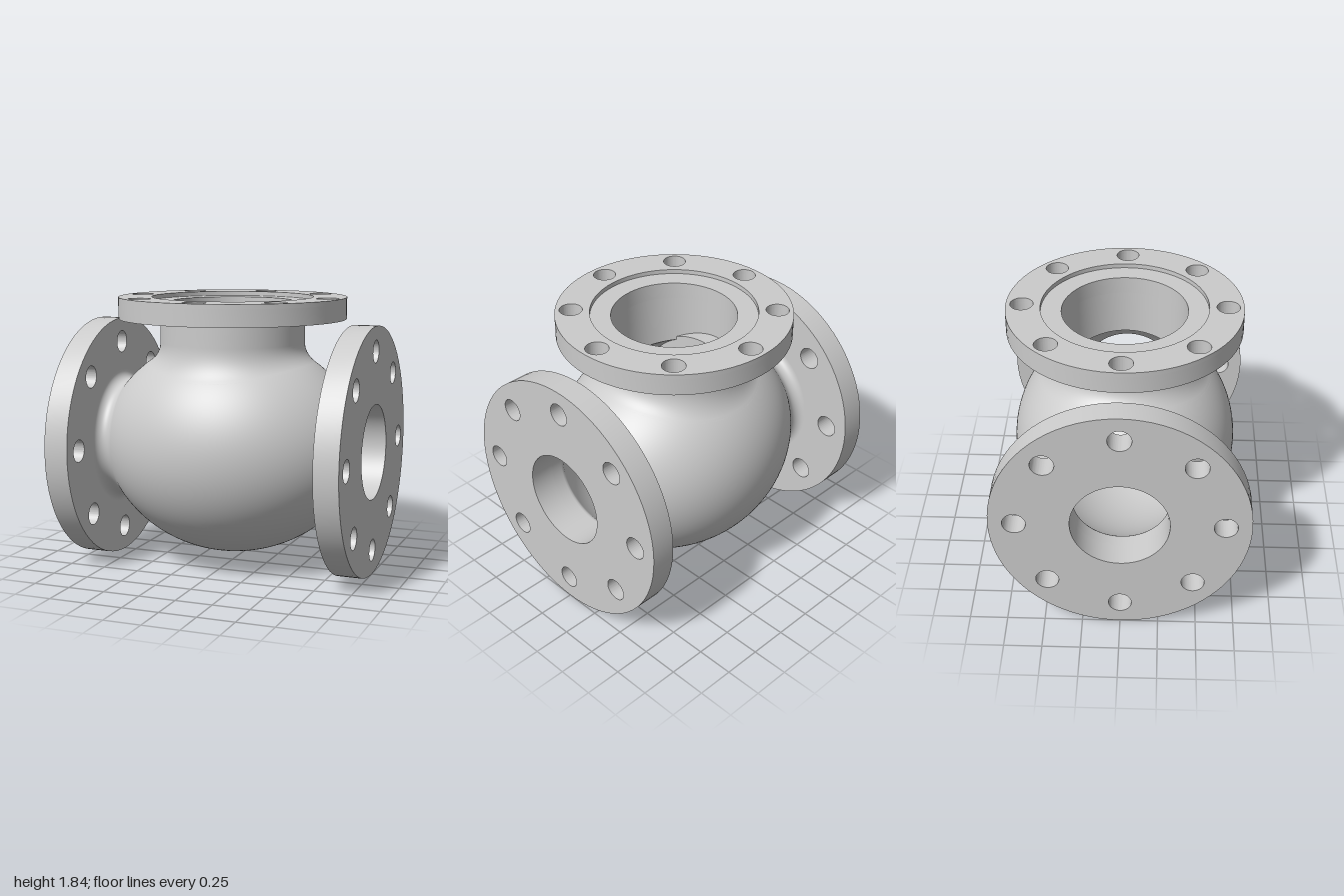
import * as THREE from 'three';
import { toCreasedNormals } from 'three/addons/utils/BufferGeometryUtils.js';

const CY = 0.833;        // height of the port axis
const BORE = 0.317;      // side port radius
const NECK = 0.49, NECK_BORE = 0.41;
const FLANGE_X = 0.835;  // inner face of the side flanges

const grey = new THREE.MeshStandardMaterial({ color: 0xcccccc });
const greyBoth = new THREE.MeshStandardMaterial({ color: 0xcccccc, side: THREE.DoubleSide });

// Body radius around the x axis: a bulged arc, then a small concave throat
const bulge = (x) => Math.sqrt(0.99 - x * x) - 0.25;
function outerRadius(x) {
  const a = Math.abs(x);
  return a < 0.733 ? bulge(x) : 0.47 - Math.sqrt(Math.max(0, 0.0036 - (a - 0.775) ** 2));
}
const innerRadius = (x) => Math.max(BORE, bulge(x) - 0.1);
const topOf = (radius, x, z) => CY + Math.sqrt(Math.max(0, radius(x) ** 2 - z * z));

function add(group, name, geometry, material = grey) {
  const mesh = new THREE.Mesh(geometry, material);
  mesh.name = name;
  group.add(mesh);
  return mesh;
}

function indexed(positions, index) {
  const g = new THREE.BufferGeometry();
  g.setAttribute('position', new THREE.Float32BufferAttribute(positions, 3));
  g.setIndex(index);
  g.computeVertexNormals();
  return g;
}

// Surface of revolution about x, with a round opening of the given radius on top
function shell(radius, xEnd, opening, inward) {
  const rows = 100, cols = 128, pos = [], idx = [], cut = [];
  for (let i = 0; i <= rows; i++) {
    const rowX = xEnd * Math.sin((i / rows - 0.5) * Math.PI);
    for (let j = 0; j < cols; j++) {
      const a = (j / cols) * Math.PI * 2;
      let x = rowX, y = CY + radius(x) * Math.cos(a), z = radius(x) * Math.sin(a);
      const d = Math.hypot(x, z);
      const inside = y > CY && d < opening;
      if (inside && d > 1e-6) {
        x *= opening / d;
        z *= opening / d;
        y = topOf(radius, x, z);
      }
      cut.push(inside);
      pos.push(x, y, z);
    }
  }
  const tri = (a, b, c) => {
    if (cut[a] && cut[b] && cut[c]) return;
    if (inward) idx.push(a, c, b); else idx.push(a, b, c);
  };
  for (let i = 0; i < rows; i++) {
    for (let j = 0; j < cols; j++) {
      const a = i * cols + j, b = i * cols + (j + 1) % cols;
      tri(a, a + cols, b);
      tri(b, a + cols, b + cols);
    }
  }
  return indexed(pos, idx);
}

// Skin around y: profile(angle) returns [radius, height] points from bottom to top
function loftY(profile, inward) {
  const cols = 128, pos = [], idx = [];
  let n = 0;
  for (let j = 0; j < cols; j++) {
    const a = (j / cols) * Math.PI * 2;
    const pts = profile(Math.cos(a), Math.sin(a));
    n = pts.length;
    for (const [r, y] of pts) pos.push(r * Math.cos(a), y, r * Math.sin(a));
  }
  for (let j = 0; j < cols; j++) {
    for (let k = 0; k < n - 1; k++) {
      const a = j * n + k, b = ((j + 1) % cols) * n + k;
      if (inward) idx.push(a, b, a + 1, b, b + 1, a + 1);
      else idx.push(a, a + 1, b, b, a + 1, b + 1);
    }
  }
  return indexed(pos, idx);
}

function circle(r, x = 0, y = 0) {
  return new THREE.Path().absarc(x, y, r, 0, Math.PI * 2, true);
}

function extrude(shape, depth) {
  const g = new THREE.ExtrudeGeometry(shape, { depth, bevelEnabled: false, curveSegments: 40 });
  return toCreasedNormals(g, 0.6);
}

// Flat ring with eight bolt holes, lying in xy and growing along +z
function flange(radius, hole, depth) {
  const shape = new THREE.Shape().absarc(0, 0, radius, 0, Math.PI * 2, false);
  shape.holes.push(circle(hole));
  for (let i = 0; i < 8; i++) {
    const a = (i * Math.PI) / 4;
    shape.holes.push(circle(0.075, 0.667 * Math.cos(a), 0.667 * Math.sin(a)));
  }
  return extrude(shape, depth);
}

// Vertical wall across the cavity: part of a disc above or below a chord
function wall(chordY, upward, thickness) {
  const r = 0.62, a = Math.asin((chordY - CY) / r);
  const shape = new THREE.Shape();
  if (upward) shape.absarc(0, 0, r, a, Math.PI - a, false);
  else shape.absarc(0, 0, r, Math.PI - a, Math.PI * 2 + a, false);
  shape.closePath();
  return extrude(shape, thickness).rotateY(Math.PI / 2);
}

export function createModel() {
  const model = new THREE.Group();
  model.name = 'valveBody';

  // Bulged casing and its hollow inside
  add(model, 'casing', shell(outerRadius, FLANGE_X, 0.56, false), greyBoth);
  add(model, 'cavity', shell(innerRadius, FLANGE_X, NECK_BORE, true), greyBoth);

  // Neck with a fillet that follows the casing
  add(model, 'neck', loftY((c, s) => {
    const at = (r) => topOf(outerRadius, r * c, r * s);
    const curve = new THREE.QuadraticBezierCurve(
      new THREE.Vector2(0.575, at(0.575)),
      new THREE.Vector2(NECK, at(NECK)),
      new THREE.Vector2(NECK, 1.53));
    return [...curve.getPoints(12).map((p) => [p.x, p.y]), [NECK, 1.6], [NECK, 1.69]];
  }, false), greyBoth);
  add(model, 'neckBore', loftY((c, s) => [
    [NECK_BORE, topOf(innerRadius, NECK_BORE * c, NECK_BORE * s)],
    [NECK_BORE, 1.69],
  ], true), greyBoth);

  // Side flanges
  for (const side of [1, -1]) {
    const g = flange(0.833, BORE, 1 - FLANGE_X).rotateY((side * Math.PI) / 2);
    add(model, side > 0 ? 'leftFlange' : 'rightFlange', g).position.set(side * FLANGE_X, CY, 0);
  }

  // Top flange with a shallow recess for the bonnet
  const top = new THREE.Group();
  top.name = 'topFlange';
  add(top, 'topFlangeBase', flange(0.77, NECK_BORE, 0.115).rotateX(-Math.PI / 2)).position.y = 1.69;
  add(top, 'topFlangeRim', flange(0.77, 0.545, 0.03).rotateX(-Math.PI / 2)).position.y = 1.805;
  model.add(top);

  // Stepped partition: lower wall, seat plate, upper wall
  const partition = new THREE.Group();
  partition.name = 'partition';
  add(partition, 'lowerWall', wall(0.92, false, 0.06)).position.set(0.3, CY, 0);
  add(partition, 'upperWall', wall(0.86, true, 0.12)).position.set(-0.42, CY, 0);
  const edge = [];
  for (let i = 0; i <= 16; i++) {
    const x = -0.36 + 0.72 * (i / 16);
    edge.push(new THREE.Vector2(x, -innerRadius(x) - 0.03));
  }
  const mirrored = edge.map((p) => new THREE.Vector2(p.x, -p.y)).reverse();
  const plate = new THREE.Shape([...edge, ...mirrored]);
  plate.holes.push(circle(0.3));
  add(partition, 'seatPlate', extrude(plate, 0.06).rotateX(-Math.PI / 2)).position.y = 0.86;

  // Chamfered seat ring
  const ring = [[0.3, 0.86], [0.27, 0.86], [0.27, 0.9], [0.3, 0.92]]
    .map(([r, y]) => new THREE.Vector2(r, y));
  add(partition, 'seatRing', toCreasedNormals(new THREE.LatheGeometry(ring, 80), 0.5), greyBoth);
  model.add(partition);

  return model;
}
